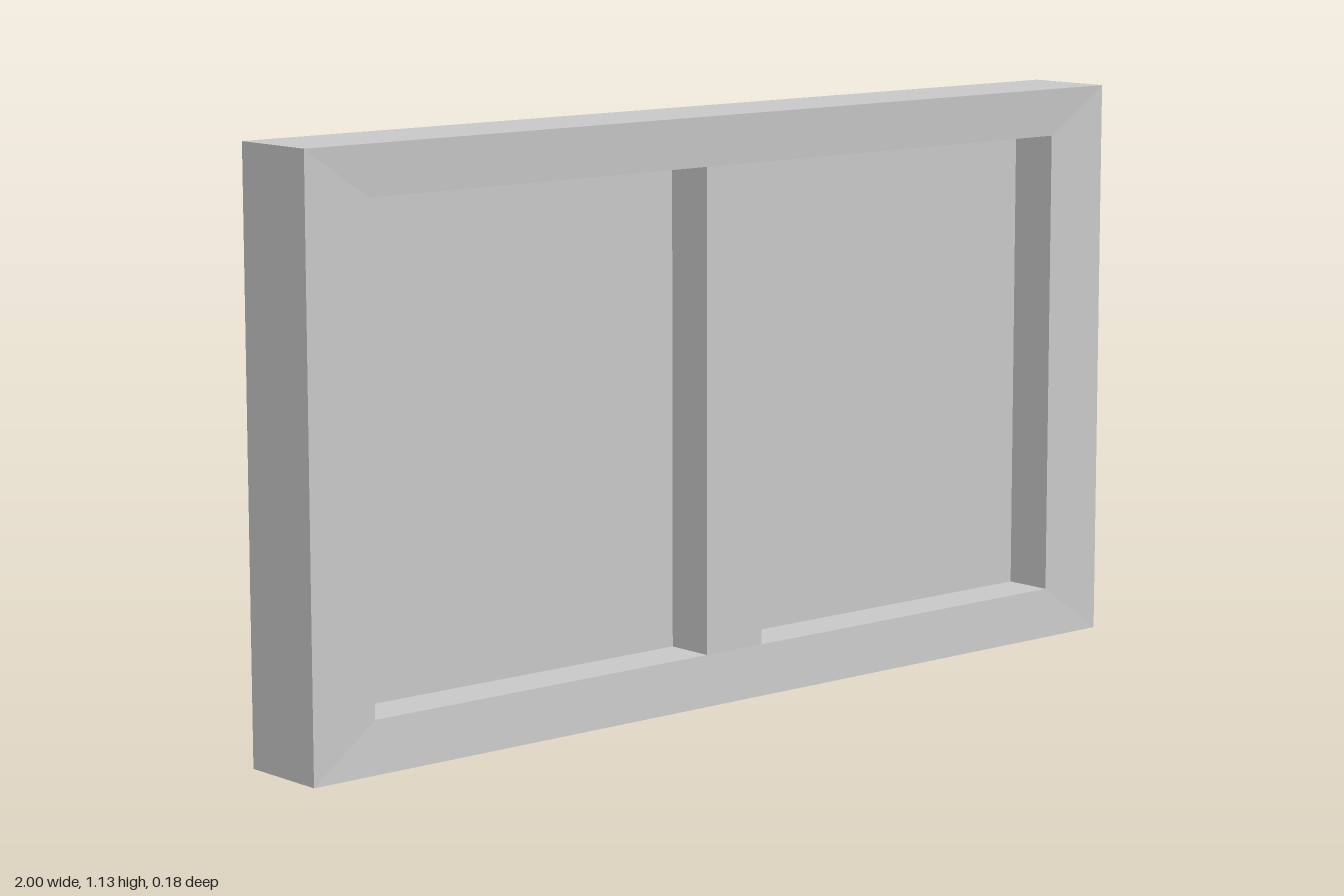
import * as THREE from 'three';

const H = 1.13, Z = 0.092;          // height, half depth
const IN_X = 0.86, Y0 = 0.1, Y1 = 1.035; // inner rectangle inside the sloped border
const DISH = 0.006;                 // how far the border slopes inwards
const MULLION = 0.07, POCKET = 0.1; // half width of centre bar, pocket depth

const material = new THREE.MeshStandardMaterial({ color: 0xcccccc, flatShading: true });

// Rectangle of four corners, counter-clockwise seen from +z
const ring = (x0, x1, y0, y1, z) => [[x0, y0, z], [x1, y0, z], [x1, y1, z], [x0, y1, z]];

// Bands joining successive rings, with optional caps at the start (faces -z) and end (faces +z)
function loft(name, rings, capStart, capEnd) {
  const pos = [];
  const quad = (a, b, c, d) => pos.push(...a, ...b, ...c, ...a, ...c, ...d);
  for (let r = 0; r < rings.length - 1; r++) {
    const p = rings[r], q = rings[r + 1];
    for (let i = 0; i < 4; i++) {
      const j = (i + 1) % 4;
      quad(p[i], p[j], q[j], q[i]);
    }
  }
  if (capStart) quad(...[...rings[0]].reverse());
  if (capEnd) quad(...rings[rings.length - 1]);
  const geo = new THREE.BufferGeometry();
  geo.setAttribute('position', new THREE.Float32BufferAttribute(pos, 3));
  geo.computeVertexNormals();
  const mesh = new THREE.Mesh(geo, material);
  mesh.name = name;
  return mesh;
}

export function createModel() {
  const model = new THREE.Group();
  model.name = 'twoPanelFrame';
  const face = Z - DISH;

  // Outer frame with slightly dished borders and a closed back
  model.add(loft('frame', [
    ring(-IN_X, IN_X, Y0, Y1, -face),
    ring(-1, 1, 0, H, -Z),
    ring(-1, 1, 0, H, Z),
    ring(-IN_X, IN_X, Y0, Y1, face),
  ], true, false));

  // Front of the centre bar
  model.add(loft('centreBar', [ring(-MULLION, MULLION, Y0, Y1, face)], false, true));

  // Two recessed panels with their reveals
  for (const [name, x0, x1] of [['rightPanel', -IN_X, -MULLION], ['leftPanel', MULLION, IN_X]]) {
    model.add(loft(name, [
      ring(x0, x1, Y0, Y1, face),
      ring(x0, x1, Y0, Y1, face - POCKET),
    ], false, true));
  }
  return model;
}
